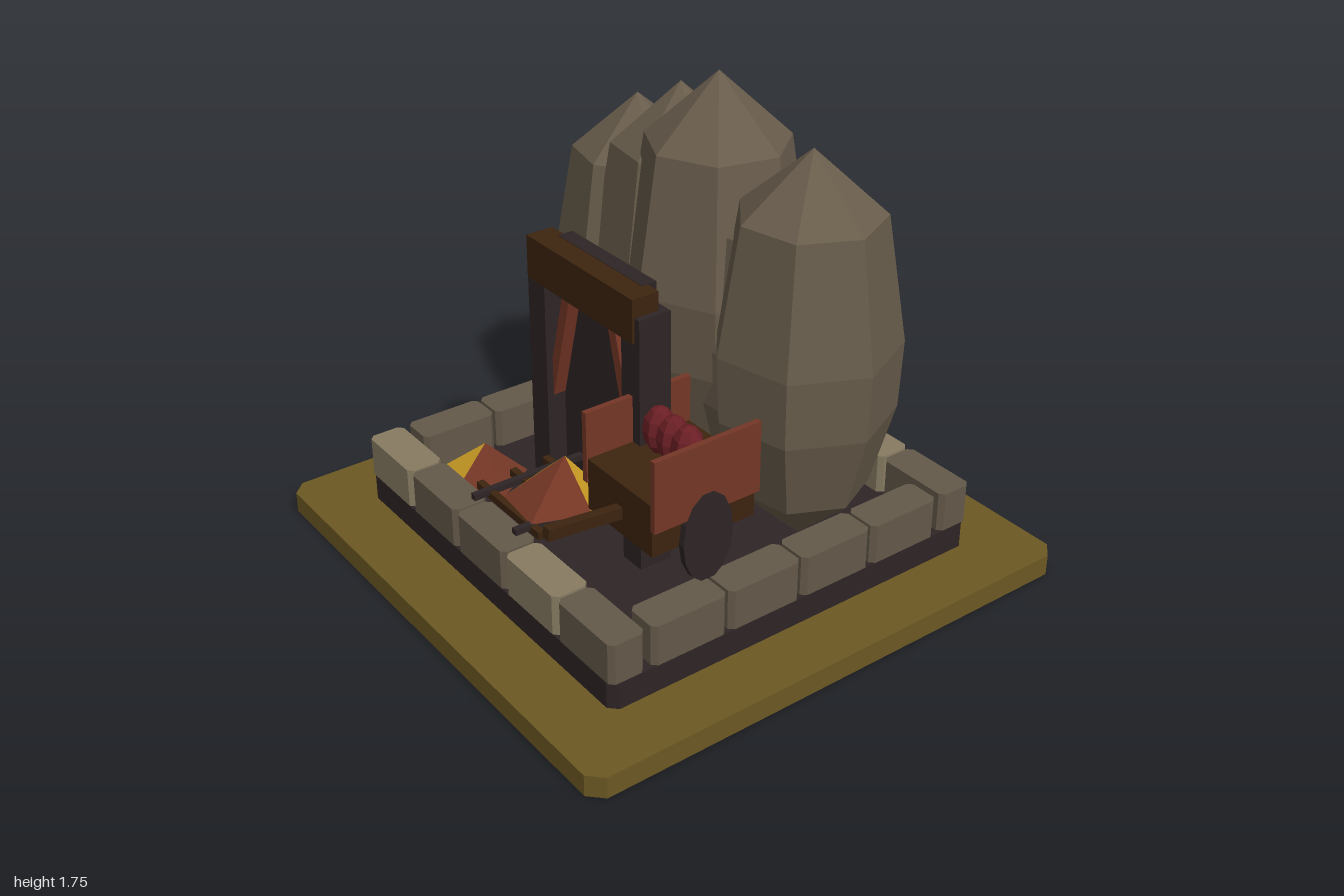
import * as THREE from 'three';

const mat = (name, color, flat = true) => {
  const m = new THREE.MeshStandardMaterial({ color, flatShading: flat });
  m.name = name;
  return m;
};

export function createModel() {
  const M = {
    earth: mat('olive earth', 0x6c5822),
    dark: mat('dark timber', 0x2e2425),
    rock: mat('rock', 0x685c4b),
    stone: mat('stone', 0x645949),
    pale: mat('pale stone', 0x877b62),
    brown: mat('brown wood', 0x3d240f),
    rust: mat('rust wood', 0x743625),
    gold: mat('gold', 0xd0a025),
    ore: mat('red ore', 0x6b1f25),
  };
  const root = new THREE.Group();
  root.name = 'mine';

  const add = (name, geo, material, x = 0, y = 0, z = 0, parent = root) => {
    const mesh = new THREE.Mesh(geo, material);
    mesh.name = name;
    mesh.position.set(x, y, z);
    parent.add(mesh);
    return mesh;
  };
  // Box given by its min and max corners
  const box = (name, material, x0, x1, y0, y1, z0, z1, parent) =>
    add(name, new THREE.BoxGeometry(x1 - x0, y1 - y0, z1 - z0), material,
      (x0 + x1) / 2, (y0 + y1) / 2, (z0 + z1) / 2, parent);
  // Block with cut vertical corners
  const block = (name, material, cx, cz, w, d, y0, y1, c, parent) => {
    const a = w / 2, b = d / 2;
    const pts = [[-a + c, -b], [a - c, -b], [a, -b + c], [a, b - c], [a - c, b], [-a + c, b], [-a, b - c], [-a, -b + c]];
    const geo = new THREE.ExtrudeGeometry(new THREE.Shape(pts.map(p => new THREE.Vector2(...p))),
      { depth: y1 - y0, bevelEnabled: false });
    geo.rotateX(-Math.PI / 2);
    return add(name, geo, material, cx, y0, cz, parent);
  };

  // Ground and floor
  block('ground', M.earth, 0, 0, 2, 2, 0, 0.08, 0.05);
  block('floor', M.dark, 0, 0, 1.54, 1.54, 0.08, 0.18, 0.03);

  // Stone border: five blocks front and back, four on each side
  const border = new THREE.Group();
  border.name = 'stoneBorder';
  root.add(border);
  for (const s of [-1, 1]) {
    for (let i = 0; i < 5; i++)
      block('borderStone', i % 3 ? M.stone : M.pale, (i - 2) * 0.309, s * 0.703, 0.3, 0.135, 0.18, 0.33, 0.018, border);
    for (let i = 0; i < 4; i++)
      block('borderStone', M.stone, s * 0.703, (i - 1.5) * 0.307, 0.135, 0.296, 0.18, 0.33, 0.018, border);
  }

  // Faceted boulders: x, z, peak height, widest radius, turn
  const rocks = new THREE.Group();
  rocks.name = 'boulders';
  root.add(rocks);
  const boulder = (x, z, top, r, turn) => {
    const h = top - 0.19;
    const profile = [[0, 0], [0.72, 0.155], [0.97, 0.36], [1, 0.53], [0.77, 0.845], [0, 1]]
      .map(([a, b]) => new THREE.Vector2(a * r, b * h));
    add('boulder', new THREE.LatheGeometry(profile, 7), M.rock, x, 0.19, z, rocks).rotation.y = turn;
  };
  boulder(-0.5, -0.26, 1.52, 0.31, -Math.PI / 2);
  boulder(-0.26, -0.27, 1.63, 0.32, 0.3);
  boulder(0, -0.23, 1.75, 0.335, 0);
  boulder(0.23, -0.29, 1.47, 0.3, 0.5);
  boulder(0.48, -0.23, 1.63, 0.325, Math.PI / 2);

  // Mine entrance
  const gate = new THREE.Group();
  gate.name = 'entrance';
  root.add(gate);
  box('tunnelMouth', M.dark, -0.24, 0.24, 0.18, 1.2, 0.205, 0.262, gate);
  box('lintel', M.brown, -0.31, 0.3, 1.04, 1.198, 0.24, 0.345, gate);
  for (const s of [-1, 1]) {
    box('post', M.dark, s * 0.275 - 0.05, s * 0.275 + 0.05, 0.18, 1.13, 0.21, 0.335, gate);
    const brace = box('brace', M.rust, -0.02, 0.02, -0.25, 0.25, -0.03, 0.03, gate);
    brace.position.set(s * 0.178, 0.85, 0.28);
    brace.rotation.z = -s * -0.26;
  }

  // Track
  const track = new THREE.Group();
  track.name = 'track';
  root.add(track);
  for (const s of [-1, 1])
    box('rail', M.dark, s * 0.13 - 0.012, s * 0.13 + 0.012, 0.37, 0.392, 0.18, 0.71, track);
  for (const z of [0.37, 0.505, 0.64])
    box('sleeper', M.brown, -0.2, 0.19, 0.357, 0.385, z - 0.013, z + 0.013, track);

  // Ore heaps: five-sided pyramids with a colour per face
  const heap = (apex, y0, rim, golden) => {
    const at = ([x, z], y) => [x, y, z];
    rim.forEach((p, i) => {
      const q = rim[(i + 1) % rim.length];
      const geo = new THREE.BufferGeometry();
      geo.setAttribute('position', new THREE.Float32BufferAttribute(
        [at(p, y0), at(apex, y0 + 0.15), at(q, y0), at(p, y0), at(q, y0), at(apex, y0)].flat(), 3));
      geo.computeVertexNormals();
      add('oreHeapFace', geo, golden.includes(i) ? M.gold : M.rust);
    });
  };
  // Rims run clockwise as seen from above
  heap([0.05, 0.45], 0.39, [[-0.12, 0.44], [0.07, 0.33], [0.21, 0.45], [0.14, 0.65], [-0.06, 0.63]], [0, 1, 4]);
  heap([-0.48, 0.45], 0.18, [[-0.64, 0.36], [-0.44, 0.3], [-0.33, 0.47], [-0.45, 0.61], [-0.64, 0.57]], [0, 3]);

  // Cart
  const cart = new THREE.Group();
  cart.name = 'cart';
  root.add(cart);
  box('cartBody', M.brown, 0.285, 0.635, 0.48, 0.67, 0.105, 0.515, cart);
  for (const x of [0.275, 0.645]) {
    box('cartSide', M.rust, x - 0.011, x + 0.011, 0.58, 0.84, 0.1, 0.52, cart);
    const wheel = add('wheel', new THREE.CylinderGeometry(0.1, 0.1, 0.026, 14), M.dark, x + 0.002, 0.49, 0.31, cart);
    wheel.rotation.z = Math.PI / 2;
    wheel.scale.x = 1.68;
  }
  const handle = box('handle', M.brown, -0.017, 0.017, -0.021, 0.021, -0.16, 0.16, cart);
  handle.position.set(0.46, 0.574, 0.635);
  handle.rotation.x = -0.1;
  for (const x of [0.39, 0.465, 0.54]) {
    const lump = add('oreLump', new THREE.SphereGeometry(0.06, 7, 6), M.ore, x, 0.755, 0.303, cart);
    lump.scale.set(1, 1.45, 0.95);
  }
  return root;
}
